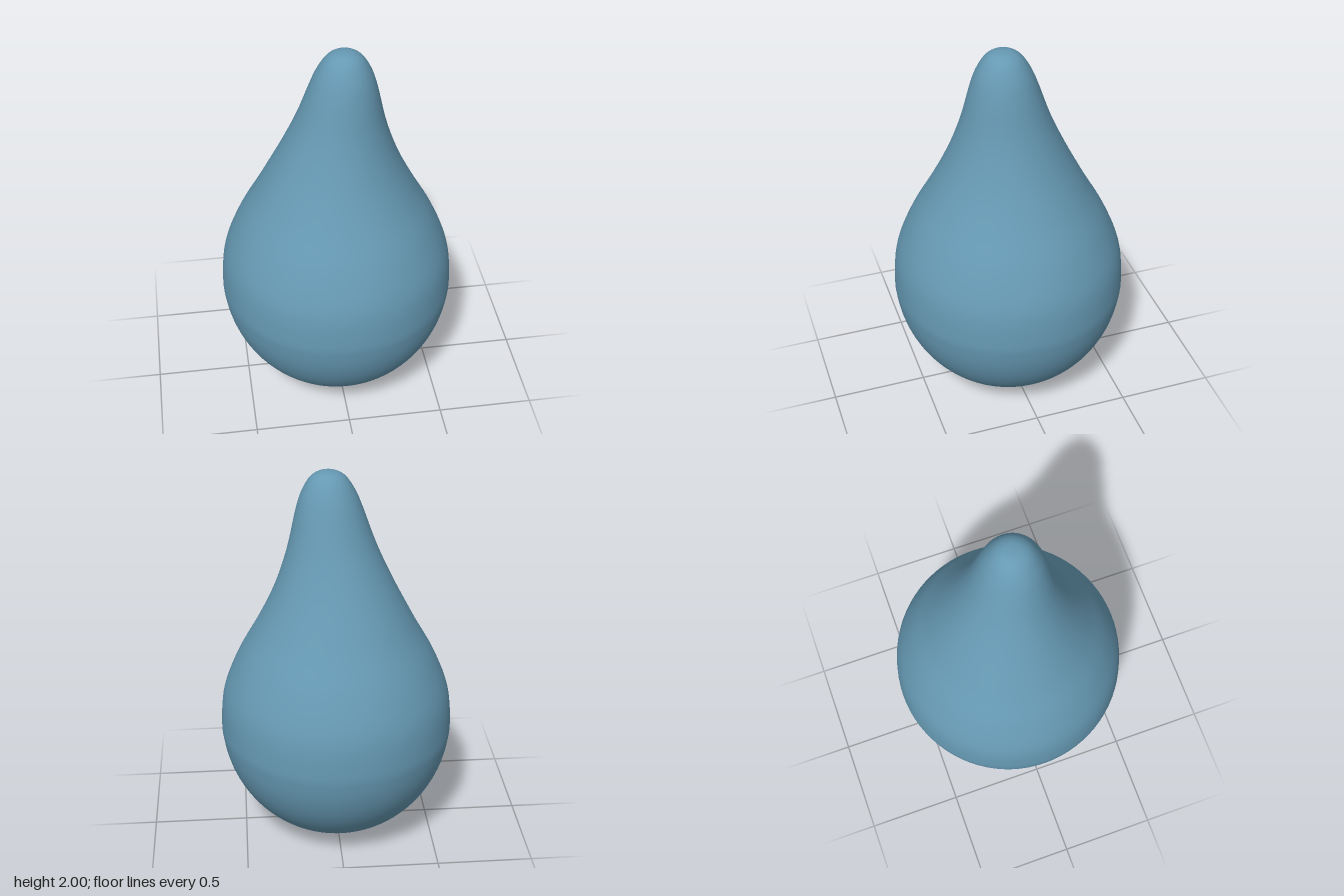
import * as THREE from 'three';
import { mergeVertices } from 'three/addons/utils/BufferGeometryUtils.js';

export function createModel() {
  const group = new THREE.Group();
  group.name = 'drop';
  const blue = new THREE.MeshStandardMaterial({ color: 0x6699b3 });
  blue.name = 'dusty blue';

  // Profile: a round belly (elliptical arc), then a tapering neck and blunt tip
  const points = [];
  for (let i = 0; i <= 10; i++) {
    const a = (i / 10) * Math.PI / 2;
    points.push(new THREE.Vector2(0.61 * Math.sin(a), 0.64 - 0.64 * Math.cos(a)));
  }
  const neck = [[0.59, 0.82], [0.515, 1.01], [0.41, 1.2], [0.31, 1.4], [0.23, 1.6],
    [0.17, 1.8], [0.137, 1.89], [0.095, 1.96], [0.05, 1.992], [0, 2]];
  for (const [r, y] of neck) points.push(new THREE.Vector2(r, y));
  const profile = new THREE.SplineCurve(points).getPoints(120);
  for (const p of profile) p.x = Math.max(p.x, 0);
  profile[0].set(0, 0);
  profile[profile.length - 1].set(0, 2);

  let geometry = new THREE.LatheGeometry(profile, 80);

  // Lean the tip diagonally towards the front and +x
  const pos = geometry.attributes.position;
  for (let i = 0; i < pos.count; i++) {
    const lean = 0.036 * THREE.MathUtils.smoothstep(pos.getY(i), 1.25, 2.0);
    pos.setX(i, pos.getX(i) + lean);
    pos.setZ(i, pos.getZ(i) + lean);
  }

  // Weld the seam and poles so the shading stays smooth
  geometry.deleteAttribute('uv');
  geometry.deleteAttribute('normal');
  geometry = mergeVertices(geometry, 1e-5);
  geometry.computeVertexNormals();

  const body = new THREE.Mesh(geometry, blue);
  body.name = 'dropBody';
  group.add(body);
  return group;
}
